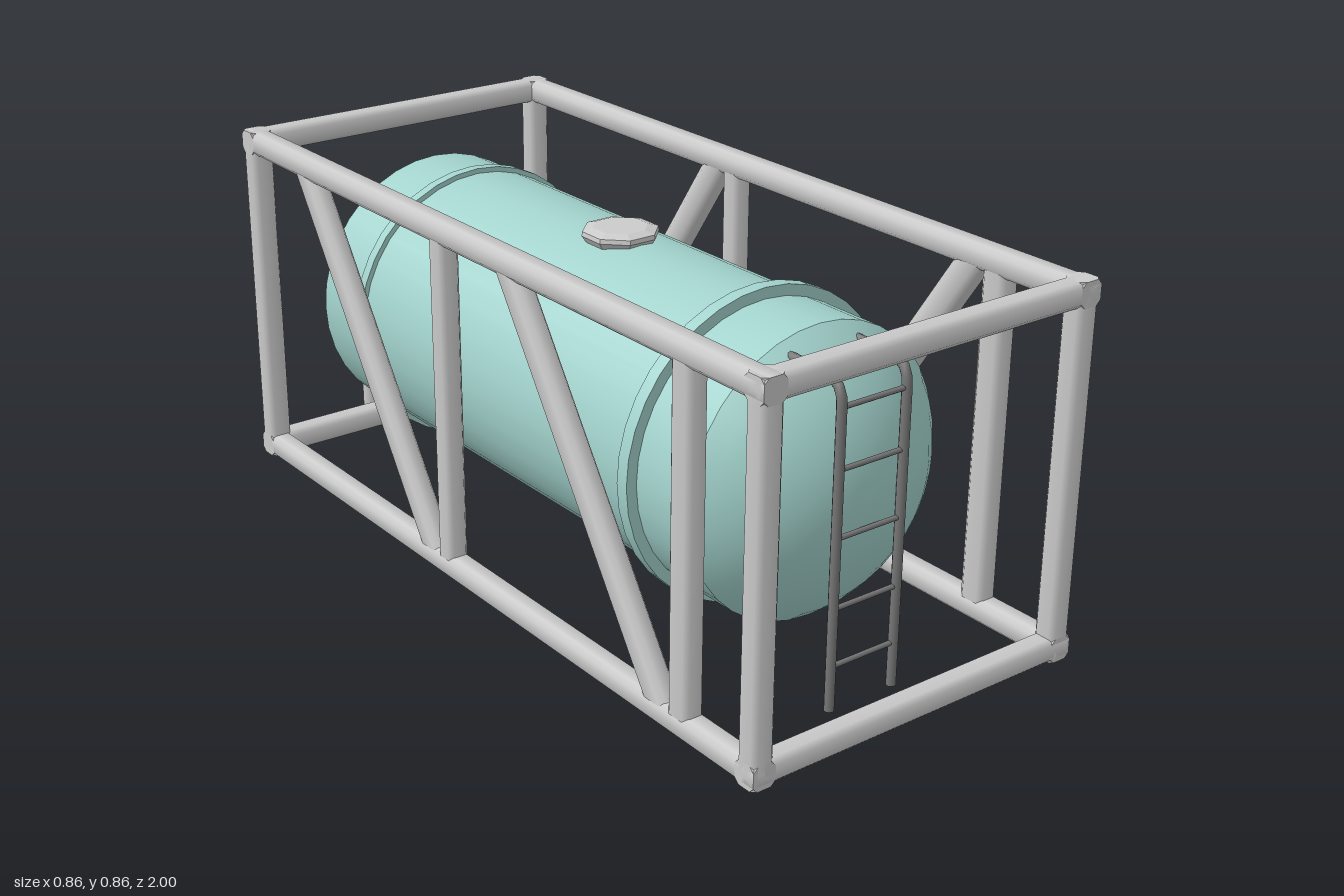
import * as THREE from 'three';

const steel = new THREE.MeshStandardMaterial({ color: 0xcccccc });
const facetedSteel = new THREE.MeshStandardMaterial({ color: 0xcccccc, flatShading: true });
const darkSteel = new THREE.MeshStandardMaterial({ color: 0x777777 });
const paint = new THREE.MeshStandardMaterial({ color: 0xa3d3cd });
const V = (x, y, z) => new THREE.Vector3(x, y, z);
const UP = V(0, 1, 0);

function add(parent, name, geometry, material) {
  const mesh = new THREE.Mesh(geometry, material);
  mesh.name = name;
  parent.add(mesh);
  return mesh;
}

// Place a y-aligned mesh between two points
function span(mesh, a, b) {
  mesh.position.copy(a).add(b).multiplyScalar(0.5);
  mesh.quaternion.setFromUnitVectors(UP, b.clone().sub(a).normalize());
  return mesh;
}

// Soft-edged square tube: an octagonal prism squared up, keeping smooth normals
function beam(parent, name, a, b, w, d = w) {
  const geo = new THREE.CylinderGeometry(1, 1, a.distanceTo(b), 8);
  geo.rotateY(Math.PI / 8);
  const p = geo.attributes.position;
  const square = (v, size) => Math.abs(v) < 0.01 ? 0
    : Math.sign(v) * size / 2 * (Math.abs(v) > 0.6 ? 1 : 0.6);
  for (let i = 0; i < p.count; i++) {
    p.setXYZ(i, square(p.getX(i), w), p.getY(i), square(p.getZ(i), d));
  }
  return span(add(parent, name, geo, steel), a, b);
}

function rod(parent, name, a, b, r, material) {
  return span(add(parent, name, new THREE.CylinderGeometry(r, r, a.distanceTo(b), 10), material), a, b);
}

// Round pipe through points, with its corners rounded by a bend radius
function bentPipe(parent, name, points, bend, r, material) {
  const path = new THREE.CurvePath();
  let from = points[0];
  for (let i = 1; i < points.length - 1; i++) {
    const c = points[i];
    const start = c.clone().add(points[i - 1].clone().sub(c).setLength(bend));
    const end = c.clone().add(points[i + 1].clone().sub(c).setLength(bend));
    path.add(new THREE.LineCurve3(from, start));
    path.add(new THREE.QuadraticBezierCurve3(start, c, end));
    from = end;
  }
  path.add(new THREE.LineCurve3(from, points[points.length - 1]));
  add(parent, name, new THREE.TubeGeometry(path, 40, r, 10), material);
  const foot = add(parent, name + 'End', new THREE.CircleGeometry(r, 10), material);
  foot.rotation.x = Math.PI / 2;
  foot.position.copy(points[0]);
}

function buildFrame() {
  const frame = new THREE.Group();
  frame.name = 'frame';
  const t = 0.055, X = 0.43, Y0 = 0.01, Y1 = 0.855, Z0 = -0.94, Z1 = 1, h = t / 2;
  for (const y of [Y0 + h, Y1 - h]) {
    for (const s of [-1, 1]) beam(frame, 'longRail', V(s * (X - h), y, Z0), V(s * (X - h), y, Z1), t);
    for (const z of [Z0 + h, Z1 - h]) beam(frame, 'crossRail', V(-X, y, z), V(X, y, z), t);
  }
  for (const s of [-1, 1]) {
    const x = s * (X - h);
    for (const z of [Z0 + h, Z1 - h]) beam(frame, 'cornerPost', V(x, Y0, z), V(x, Y1, z), t);
    beam(frame, 'frontSidePost', V(x, 0.04, 0.758), V(x, 0.83, 0.758), 0.05, 0.066);
    beam(frame, 'middleSidePost', V(x, 0.04, -0.083), V(x, 0.83, -0.083), 0.05, 0.056);
    // Braces slope in opposite directions on the two sides
    for (const z of [0.432, -0.402]) {
      beam(frame, 'diagonalBrace', V(x, 0.43 - s * 0.39, z - 0.261), V(x, 0.43 + s * 0.39, z + 0.261), 0.05, 0.066);
    }
  }
  return frame;
}

function buildTank() {
  const tank = new THREE.Group();
  tank.name = 'tank';
  tank.position.set(-0.01, 0.437, 0);
  const r = 0.325, front = 0.675, back = -0.745, depth = 0.168;

  const lathe = (name, pts) => {
    const geo = new THREE.LatheGeometry(pts.map(([a, b]) => new THREE.Vector2(a, b)), 36);
    geo.rotateX(Math.PI / 2);
    return add(tank, name, geo, paint);
  };
  lathe('tankBody', [[r, back], [r, front]]);

  // Shallow spherical end caps
  const R = (r * r + depth * depth) / (2 * depth), a = Math.asin(r / R);
  const cap = [];
  for (let i = 0; i <= 8; i++) {
    const k = a * (1 - i / 8);
    cap.push([R * Math.sin(k), R * Math.cos(k) - R + depth]);
  }
  lathe('frontCap', cap).position.z = front;
  const backCap = lathe('backCap', cap);
  backCap.position.z = back;
  backCap.rotation.y = Math.PI;

  // Raised bands around the body
  for (const [name, z, w, radius] of [['frontBand', 0.492, 0.032, 0.35], ['backBand', -0.568, 0.026, 0.337]]) {
    const band = add(tank, name, new THREE.CylinderGeometry(radius, radius, w, 36), paint);
    band.rotation.x = Math.PI / 2;
    band.position.z = z;
  }

  // Eight-sided hatch: flared side, chamfered lid
  const hatch = new THREE.LatheGeometry([[0.065, 0.3], [0.088, 0.332], [0.086, 0.342], [0.062, 0.349], [0, 0.349]]
    .map(([x, y]) => new THREE.Vector2(x, y)), 8);
  hatch.rotateY(Math.PI / 8);
  add(tank, 'hatch', hatch, facetedSteel).position.z = 0.018;
  return tank;
}

function buildLadder() {
  const ladder = new THREE.Group();
  ladder.name = 'ladder';
  const xs = [-0.103, 0.067], z = 0.847;
  for (const x of xs) {
    bentPipe(ladder, 'ladderRail', [V(x, 0, z), V(x, 0.72, z), V(x, 0.72, 0.69)], 0.05, 0.011, darkSteel);
  }
  for (const y of [0.1, 0.23, 0.385, 0.533, 0.665]) {
    rod(ladder, 'rung', V(xs[0], y, z), V(xs[1], y, z), 0.006, darkSteel);
  }
  rod(ladder, 'topRung', V(xs[0], 0.723, 0.778), V(xs[1], 0.723, 0.778), 0.006, darkSteel);
  return ladder;
}

function buildOutlets() {
  const outlets = new THREE.Group();
  outlets.name = 'outletPipes';
  for (const x of [-0.088, -0.003, 0.083]) {
    bentPipe(outlets, 'outletPipe', [V(x, 0, -0.978), V(x, 0.163, -0.978), V(x, 0.163, -0.76)], 0.055, 0.022, steel);
  }
  return outlets;
}

export function createModel() {
  const model = new THREE.Group();
  model.name = 'framedTank';
  model.add(buildFrame(), buildTank(), buildLadder(), buildOutlets());
  return model;
}
